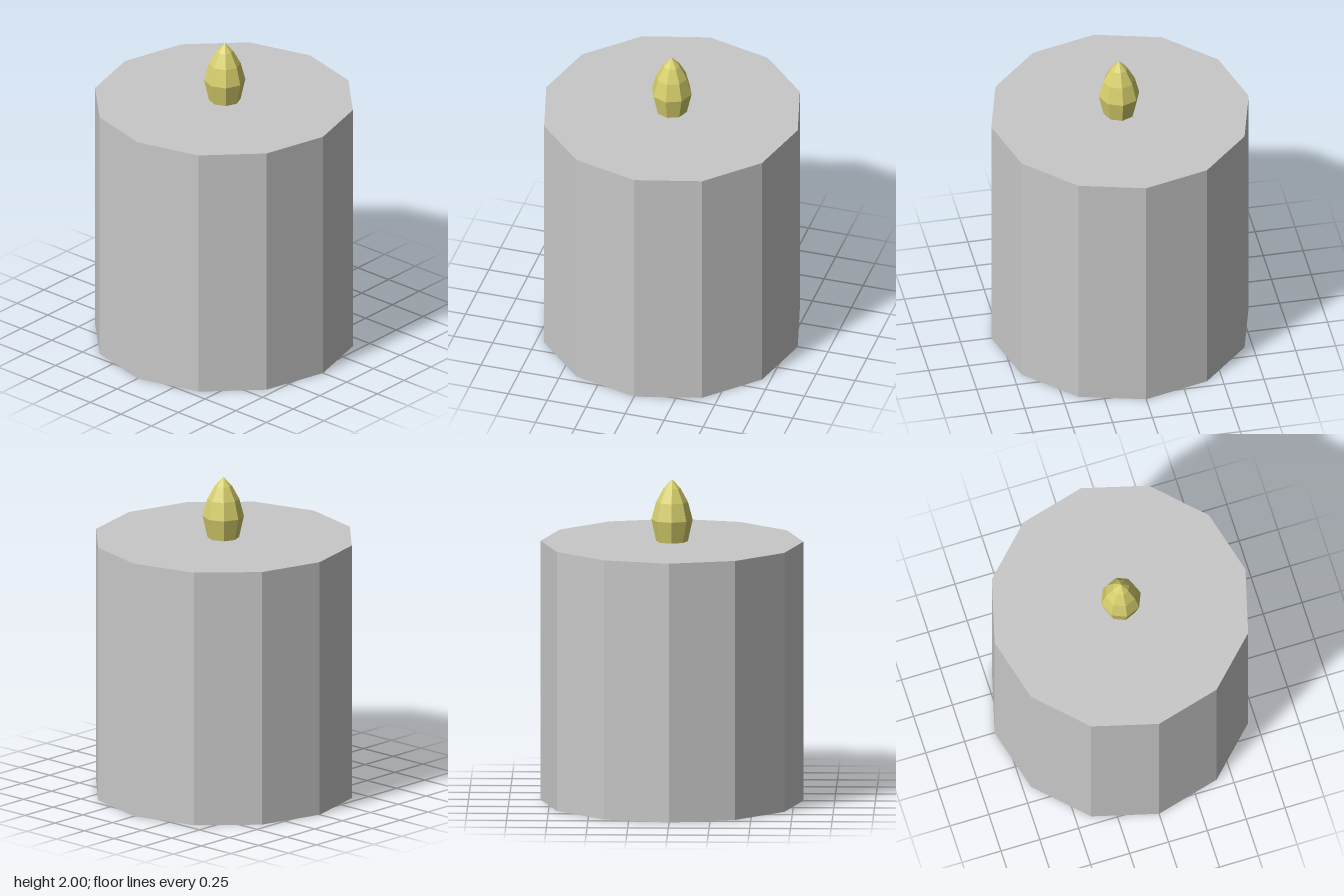
import * as THREE from 'three';

export function createModel() {
  const group = new THREE.Group();
  const material = (name, color) => {
    const m = new THREE.MeshStandardMaterial({ color, flatShading: true });
    m.name = name;
    return m;
  };
  const wax = material('grey wax', 0xc8c8c8);
  const yellow = material('flame yellow', 0xd6ce6c);

  // Twelve-sided candle body with corners on the x and z axes
  const height = 1.615;
  const body = new THREE.Mesh(new THREE.CylinderGeometry(0.807, 0.807, height, 12), wax);
  body.name = 'candleBody';
  body.position.y = height / 2;
  group.add(body);

  // Eight-sided flame, its foot sunk slightly into the body
  const profile = [[0, 1.6], [0.094, 1.6], [0.127, 1.75], [0.098, 1.86], [0.052, 1.945], [0, 2]];
  const flame = new THREE.Mesh(
    new THREE.LatheGeometry(profile.map(([r, y]) => new THREE.Vector2(r, y)), 8),
    yellow
  );
  flame.name = 'flame';
  flame.position.z = 0.006;
  group.add(flame);

  return group;
}
